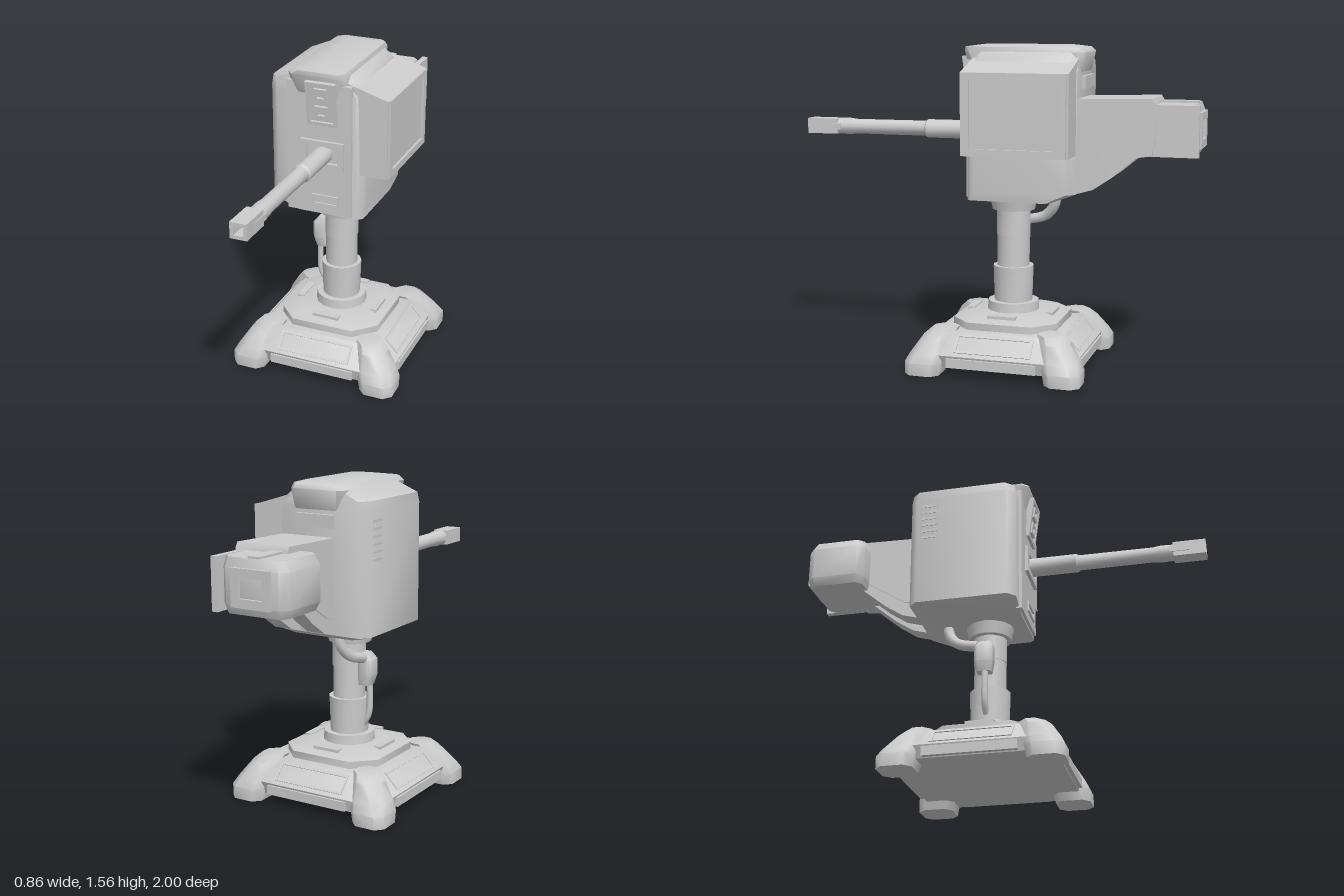
import * as THREE from 'three';
import { ConvexGeometry } from 'three/addons/geometries/ConvexGeometry.js';
import { toCreasedNormals } from 'three/addons/utils/BufferGeometryUtils.js';

const metal = new THREE.MeshStandardMaterial({ color: 0xcccccc });
metal.name = 'light grey metal';
const CZ = -0.087; // centre line of the stand

function add(parent, name, geometry, x = 0, y = 0, z = 0) {
  const mesh = new THREE.Mesh(geometry, metal);
  mesh.name = name;
  mesh.position.set(x, y, z);
  parent.add(mesh);
  return mesh;
}

// Softly shaded solid through stacked octagons: [y, x0, x1, z0, z1, chamfer]
function stack(layers) {
  const points = [];
  for (const [y, x0, x1, z0, z1, c] of layers) {
    for (const [x, sx] of [[x0, 1], [x1, -1]]) {
      for (const [z, sz] of [[z0, 1], [z1, -1]]) {
        points.push(new THREE.Vector3(x + sx * c, y, z), new THREE.Vector3(x, y, z + sz * c));
      }
    }
  }
  return toCreasedNormals(new ConvexGeometry(points), 0.8);
}

const box = (w, h, d) => new THREE.BoxGeometry(w, h, d);
const drum = (r0, r1, h, n = 16) => toCreasedNormals(new THREE.CylinderGeometry(r1, r0, h, n), 0.7);

// Rectangular frame facing +z
function frame(w, h, rim, depth) {
  const rect = (path, a, b) => path.moveTo(-a, -b).lineTo(a, -b).lineTo(a, b).lineTo(-a, b).closePath();
  const shape = new THREE.Shape();
  rect(shape, w / 2, h / 2);
  const hole = new THREE.Path();
  rect(hole, w / 2 - rim, h / 2 - rim);
  shape.holes.push(hole);
  return new THREE.ExtrudeGeometry(shape, { depth, bevelEnabled: false });
}

// Side profile in (z, y), extruded across x
function sideProfile(points, x0, x1) {
  const shape = new THREE.Shape(points.map(([z, y]) => new THREE.Vector2(-z, y)));
  const g = new THREE.ExtrudeGeometry(shape, { depth: x1 - x0, bevelEnabled: false });
  return toCreasedNormals(g.rotateY(Math.PI / 2).translate(x0, 0, 0), 0.7);
}

function tube(points, r) {
  const curve = new THREE.CatmullRomCurve3(points.map(p => new THREE.Vector3(...p)));
  return new THREE.TubeGeometry(curve, 20, r, 8);
}

function makeBase() {
  const base = new THREE.Group();
  base.name = 'base';
  base.position.z = CZ;
  add(base, 'basePlatform', stack([
    [0.04, -0.38, 0.38, -0.38, 0.38, 0.08],
    [0.1, -0.395, 0.395, -0.395, 0.395, 0.08],
    [0.2, -0.3, 0.3, -0.3, 0.3, 0.08],
  ]));
  add(base, 'baseTopPlate', stack([
    [0.19, -0.26, 0.26, -0.26, 0.26, 0.1],
    [0.235, -0.26, 0.26, -0.26, 0.26, 0.1],
    [0.26, -0.19, 0.19, -0.19, 0.19, 0.08],
  ]));
  for (let i = 0; i < 4; i++) {
    const sideGroup = new THREE.Group();
    sideGroup.name = 'baseSide';
    sideGroup.rotation.y = i * Math.PI / 2;
    base.add(sideGroup);
    // rounded block foot
    add(sideGroup, 'foot', stack([
      [0, 0.26, 0.43, 0.26, 0.43, 0.035],
      [0.06, 0.25, 0.43, 0.25, 0.43, 0.035],
      [0.1, 0.235, 0.41, 0.235, 0.41, 0.04],
      [0.18, 0.21, 0.36, 0.21, 0.36, 0.05],
      [0.212, 0.2, 0.325, 0.2, 0.325, 0.04],
    ]));
    // sill between two feet, with a sloping panel above
    add(sideGroup, 'sill', box(0.44, 0.045, 0.03), 0, 0.068, 0.388);
    const panel = add(sideGroup, 'slopePanel', frame(0.38, 0.1, 0.012, 0.006), 0, 0.15, 0.345);
    panel.rotation.x = -0.76;
    add(sideGroup, 'topRib', box(0.14, 0.02, 0.035), 0, 0.255, 0.2);
  }
  return base;
}

function makeColumn() {
  const column = new THREE.Group();
  column.name = 'column';
  column.position.z = CZ;
  add(column, 'baseCollar', drum(0.13, 0.125, 0.06), 0, 0.275);
  add(column, 'lowerSleeve', drum(0.094, 0.1, 0.19), 0, 0.385);
  add(column, 'upperPost', drum(0.08, 0.08, 0.3), 0, 0.62);
  add(column, 'postRing', drum(0.083, 0.083, 0.13), 0, 0.7);
  add(column, 'topCollar', drum(0.105, 0.12, 0.07), -0.005, 0.795);
  // cable with junction box
  add(column, 'junctionBox', stack([
    [0.55, -0.13, -0.07, -0.04, 0.03, 0.01],
    [0.6, -0.145, -0.07, -0.05, 0.04, 0.015],
    [0.68, -0.145, -0.07, -0.05, 0.04, 0.015],
    [0.71, -0.12, -0.07, -0.04, 0.03, 0.01],
  ]));
  add(column, 'upperCable', tube([[-0.06, 0.86, -0.2], [-0.07, 0.78, -0.19], [-0.09, 0.72, -0.14], [-0.105, 0.69, -0.04]], 0.026));
  add(column, 'lowerCable', tube([[-0.115, 0.57, 0], [-0.118, 0.48, 0], [-0.112, 0.4, 0], [-0.08, 0.34, 0]], 0.016));
  return column;
}

function makeHousing() {
  const housing = new THREE.Group();
  housing.name = 'housing';
  add(housing, 'housingBody', stack([
    [0.82, -0.17, 0.18, -0.31, 0.1, 0.02],
    [0.865, -0.3, 0.185, -0.43, 0.1, 0.04],
    [1.44, -0.3, 0.185, -0.435, 0.1, 0.04],
    [1.485, -0.295, 0.15, -0.43, 0.09, 0.04],
    [1.53, -0.19, 0.1, -0.42, 0.08, 0.03],
  ]));
  add(housing, 'frontPlate', box(0.33, 0.66, 0.03), -0.035, 1.16, 0.1);
  // rounded lid overhanging front and back
  add(housing, 'lid', stack([
    [1.4, -0.15, 0.08, -0.42, 0.105, 0.02],
    [1.45, -0.18, 0.1, -0.44, 0.113, 0.03],
    [1.53, -0.19, 0.1, -0.455, 0.14, 0.03],
    [1.552, -0.16, 0.095, -0.44, 0.14, 0.03],
    [1.563, -0.08, 0.06, -0.38, 0.06, 0.03],
  ]));
  // side bay on the left flank
  add(housing, 'sideBay', new ConvexGeometry([0.09, -0.43].flatMap(z =>
    [[0.1, 1.5], [0.1, 1.05], [0.3, 1.05], [0.3, 1.44]].map(([x, y]) => new THREE.Vector3(x, y, z)))));
  add(housing, 'sideBayRim', frame(0.5, 0.39, 0.035, 0.014), 0.297, 1.245, -0.17).rotation.y = Math.PI / 2;
  // sight window with two square lenses
  const sight = new THREE.Group();
  sight.name = 'sight';
  sight.position.set(-0.013, 1.4, 0.122);
  sight.rotation.x = 0.13;
  housing.add(sight);
  add(sight, 'sightFrame', frame(0.15, 0.22, 0.018, 0.022));
  add(sight, 'sightBack', box(0.14, 0.21, 0.02));
  for (const y of [0.05, -0.04]) add(sight, 'lensFrame', frame(0.065, 0.06, 0.014, 0.016), 0, y, 0.008);
  // recess and slot on the front
  add(housing, 'barrelMountFrame', frame(0.22, 0.14, 0.03, 0.02), -0.015, 1.14, 0.112);
  add(housing, 'lowerSlotFrame', frame(0.14, 0.055, 0.012, 0.012), -0.005, 0.9, 0.112);
  // cooling slats on the right rear
  for (let i = 0; i < 6; i++) {
    add(housing, 'coolingSlat', box(0.012, 0.014, 0.08), -0.297, 1.22 + i * 0.035, -0.33);
  }
  add(housing, 'rearHood', box(0.2, 0.06, 0.03), -0.04, 1.39, -0.44);
  return housing;
}

function makeBarrel() {
  const barrel = new THREE.Group();
  barrel.name = 'barrel';
  barrel.position.set(-0.011, 1.142, 0);
  const profile = [[0, 0.05], [0.046, 0.05], [0.046, 0.36], [0.038, 0.37], [0.037, 0.74], [0.042, 0.78],
    [0.038, 0.9], [0, 0.9]];
  const g = new THREE.LatheGeometry(profile.map(p => new THREE.Vector2(...p)), 12);
  add(barrel, 'barrelTube', toCreasedNormals(g.rotateX(Math.PI / 2), 0.6));
  // hollow square muzzle with side ports
  add(barrel, 'muzzle', frame(0.08, 0.076, 0.017, 0.16), 0, 0, 0.84);
  for (const s of [-1, 1]) add(barrel, 'muzzlePort', box(0.006, 0.03, 0.1), s * 0.041, 0, 0.87);
  return barrel;
}

function makeRear() {
  const rear = new THREE.Group();
  rear.name = 'rearArm';
  const root = [[-0.4, 1.31], [-0.4, 0.86], [-0.44, 0.87]];
  // two ribs under a shared upper beam
  for (const [x0, x1] of [[-0.13, -0.04], [0.05, 0.14]]) {
    add(rear, 'armRib', sideProfile([...root, [-0.51, 0.89], [-0.6, 0.95], [-0.72, 1.05], [-0.79, 1.06], [-0.79, 1.3]], x0, x1));
  }
  add(rear, 'armBeam', sideProfile([[-0.4, 1.315], [-0.4, 0.93], [-0.5, 0.96], [-0.72, 1.1], [-0.8, 1.1],
    [-0.8, 1.3], [-0.785, 1.325]], -0.135, 0.14));
  // rear block and its end fittings
  add(rear, 'rearBlock', stack([
    [1.05, -0.23, 0.08, -0.97, -0.7, 0.03],
    [1.09, -0.25, 0.09, -0.985, -0.69, 0.035],
    [1.25, -0.25, 0.09, -0.985, -0.69, 0.035],
    [1.295, -0.225, 0.08, -0.97, -0.7, 0.03],
  ]));
  add(rear, 'rearSidePlate', box(0.03, 0.24, 0.22), 0.105, 1.175, -0.89);
  add(rear, 'rearFrame', frame(0.2, 0.17, 0.04, 0.02), -0.08, 1.17, -0.98).rotation.y = Math.PI;
  add(rear, 'rearTopRib', box(0.06, 0.02, 0.2), -0.08, 1.295, -0.87);
  return rear;
}

export function createModel() {
  const model = new THREE.Group();
  model.name = 'sentryTurret';
  model.add(makeBase(), makeColumn(), makeHousing(), makeBarrel(), makeRear());
  return model;
}
